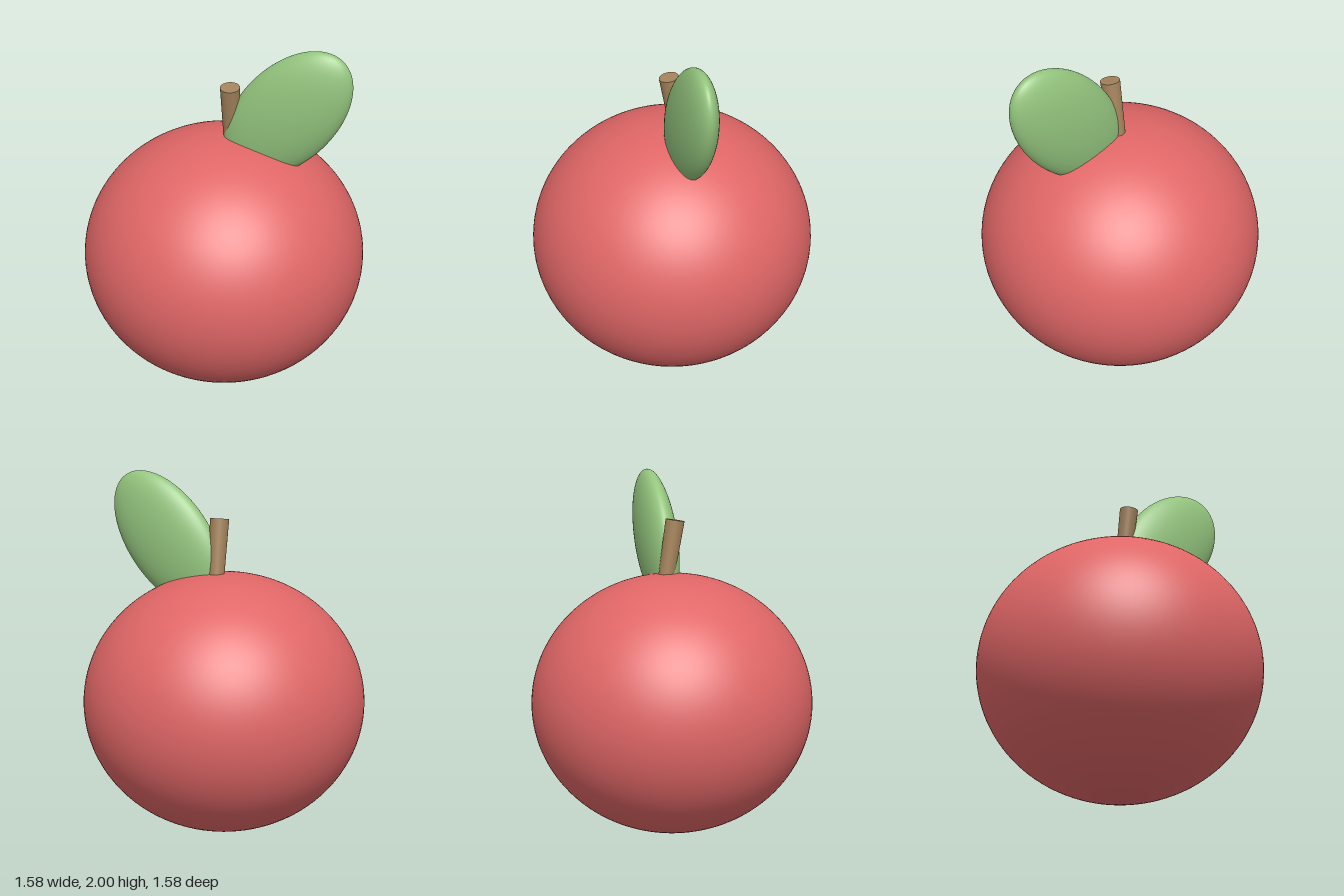
import * as THREE from 'three';

// Smooth ellipsoid with the given half-axes
function ellipsoid(name, color, rx, ry, rz, x, y, z) {
  const geometry = new THREE.SphereGeometry(1, 96, 64).scale(rx, ry, rz);
  const mesh = new THREE.Mesh(geometry, new THREE.MeshStandardMaterial({ color }));
  mesh.name = name;
  mesh.position.set(x, y, z);
  return mesh;
}

export function createModel() {
  const model = new THREE.Group();
  model.name = 'apple';

  // Slightly flattened fruit
  model.add(ellipsoid('fruit', 0xe06666, 0.79, 0.7285, 0.79, 0, 0.7285, 0));

  // Plump leaf leaning out to the left of the stem
  const leaf = ellipsoid('leaf', 0x93c47d, 0.259, 0.446, 0.105, 0.35, 1.62, 0);
  leaf.rotation.z = -0.7;
  model.add(leaf);

  // Stem, widening upwards and leaning forward, sunk a little into the fruit
  const base = new THREE.Vector3(0.036, 1.38, -0.032);
  const tip = new THREE.Vector3(0.043, 1.752, 0.03);
  const axis = tip.clone().sub(base);
  const stem = new THREE.Mesh(
    new THREE.CylinderGeometry(0.053, 0.043, axis.length(), 48),
    new THREE.MeshStandardMaterial({ color: 0xa5845c })
  );
  stem.name = 'stem';
  stem.position.copy(base).lerp(tip, 0.5);
  stem.quaternion.setFromUnitVectors(new THREE.Vector3(0, 1, 0), axis.normalize());
  model.add(stem);

  return model;
}
